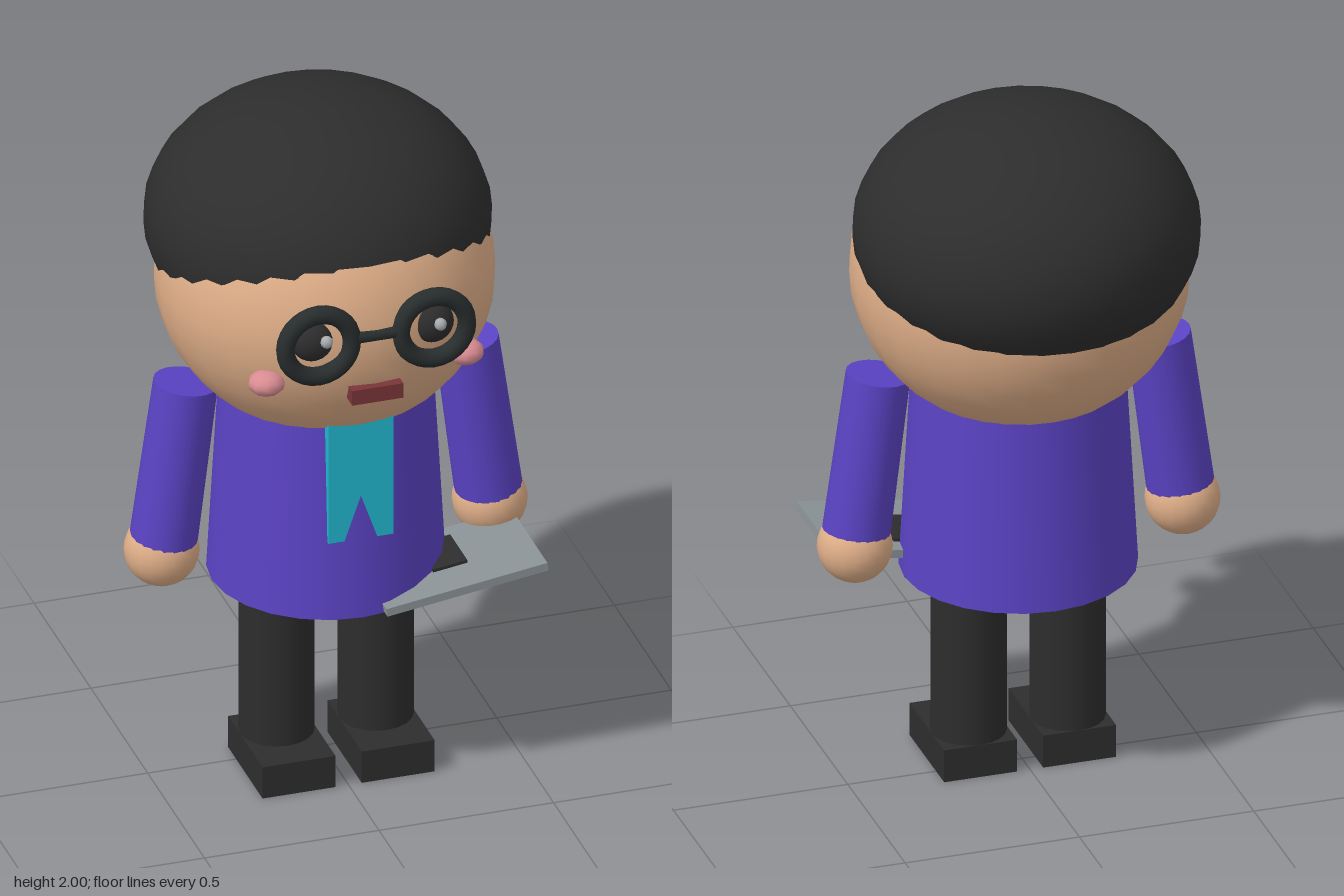
import * as THREE from 'three';

const mat = (name, color) => {
  const m = new THREE.MeshStandardMaterial({ color });
  m.name = name;
  return m;
};

export function createModel() {
  const root = new THREE.Group();
  root.name = 'figure';

  const skin = mat('skin', 0xdfae88);
  const black = mat('hair and trousers black', 0x2d2d2d);
  const frameBlack = mat('glasses black', 0x282d2d);
  const purple = mat('coat purple', 0x5b43c4);
  const teal = mat('scarf teal', 0x22b8cf);
  const pink = mat('cheek pink', 0xd98c92);
  const red = mat('mouth red', 0x7a3538);
  const grey = mat('tablet grey', 0x8a9296);
  const glint = mat('eye glint', 0xa8acae);

  const add = (name, geo, material, x, y, z, parent = root) => {
    const m = new THREE.Mesh(geo, material);
    m.name = name;
    m.position.set(x, y, z);
    parent.add(m);
    return m;
  };
  const ball = (rx, ry, rz, w = 20, h = 14) =>
    new THREE.SphereGeometry(1, w, h).scale(rx, ry, rz);

  // Head and the cap of hair set back over it
  add('head', ball(0.467, 0.44, 0.467, 28, 20), skin, 0, 1.5, 0.02);
  add('hair', ball(0.477, 0.36, 0.477, 28, 20), black, 0, 1.64, -0.04);

  // Coat body
  add('torso', new THREE.CylinderGeometry(0.293, 0.327, 0.61, 24), purple, 0, 0.895, 0.033);

  // Scarf with a notched lower end
  const scarf = new THREE.Shape([
    [-0.093, 0.825], [-0.047, 0.825], [0, 0.96], [0.047, 0.825],
    [0.093, 0.825], [0.093, 1.2], [-0.093, 1.2],
  ].map(([x, y]) => new THREE.Vector2(x, y)));
  add('scarf', new THREE.ExtrudeGeometry(scarf, { depth: 0.052, bevelEnabled: false }),
    teal, 0, 0, 0.289);

  // Paired parts
  for (const s of [-1, 1]) {
    const side = s > 0 ? 'left' : 'right';

    const top = new THREE.Vector3(s * 0.402, 1.222, 0.033);
    const wrist = new THREE.Vector3(s * 0.467, 0.735, 0.033);
    const axis = top.clone().sub(wrist);
    const mid = top.clone().add(wrist).multiplyScalar(0.5);
    const arm = add(side + 'Arm', new THREE.CylinderGeometry(0.089, 0.094, axis.length(), 20),
      purple, mid.x, mid.y, mid.z);
    arm.quaternion.setFromUnitVectors(new THREE.Vector3(0, 1, 0), axis.normalize());
    add(side + 'Hand', ball(0.104, 0.104, 0.104), skin, s * 0.47, 0.712, 0.03);

    add(side + 'Leg', new THREE.CylinderGeometry(0.104, 0.104, 0.56, 20), black, s * 0.142, 0.34, 0.034);
    add(side + 'Shoe', new THREE.BoxGeometry(0.209, 0.097, 0.303), black, s * 0.142, 0.0485, 0.081);

    add(side + 'GlassesRim', new THREE.TorusGeometry(0.095, 0.026, 12, 28), frameBlack, s * 0.165, 1.527, 0.475);
    add(side + 'Eye', ball(0.06, 0.06, 0.05), black, s * 0.172, 1.527, 0.44);
    add(side + 'EyeGlint', ball(0.018, 0.018, 0.018, 8, 6), glint, s * 0.163 + 0.015, 1.545, 0.495);
    add(side + 'Cheek', ball(0.052, 0.035, 0.05, 10, 8), pink, s * 0.285, 1.385, 0.386);
  }

  // Bridge of the glasses
  const bridge = add('glassesBridge', new THREE.CylinderGeometry(0.017, 0.017, 0.13, 10),
    frameBlack, 0, 1.535, 0.479);
  bridge.rotation.z = Math.PI / 2;

  add('mouth', new THREE.BoxGeometry(0.147, 0.045, 0.05), red, 0, 1.354, 0.465);

  // Tablet held in the left hand, with a dark panel on top
  const tablet = new THREE.Group();
  tablet.name = 'tablet';
  tablet.position.set(0.291, 0.639, 0.225);
  tablet.rotation.z = 0.14;
  root.add(tablet);
  add('tabletPlate', new THREE.BoxGeometry(0.466, 0.024, 0.32), grey, 0, 0, 0, tablet);
  add('tabletPanel', new THREE.BoxGeometry(0.1, 0.009, 0.15), black, -0.01, 0.0165, -0.03, tablet);

  return root;
}
